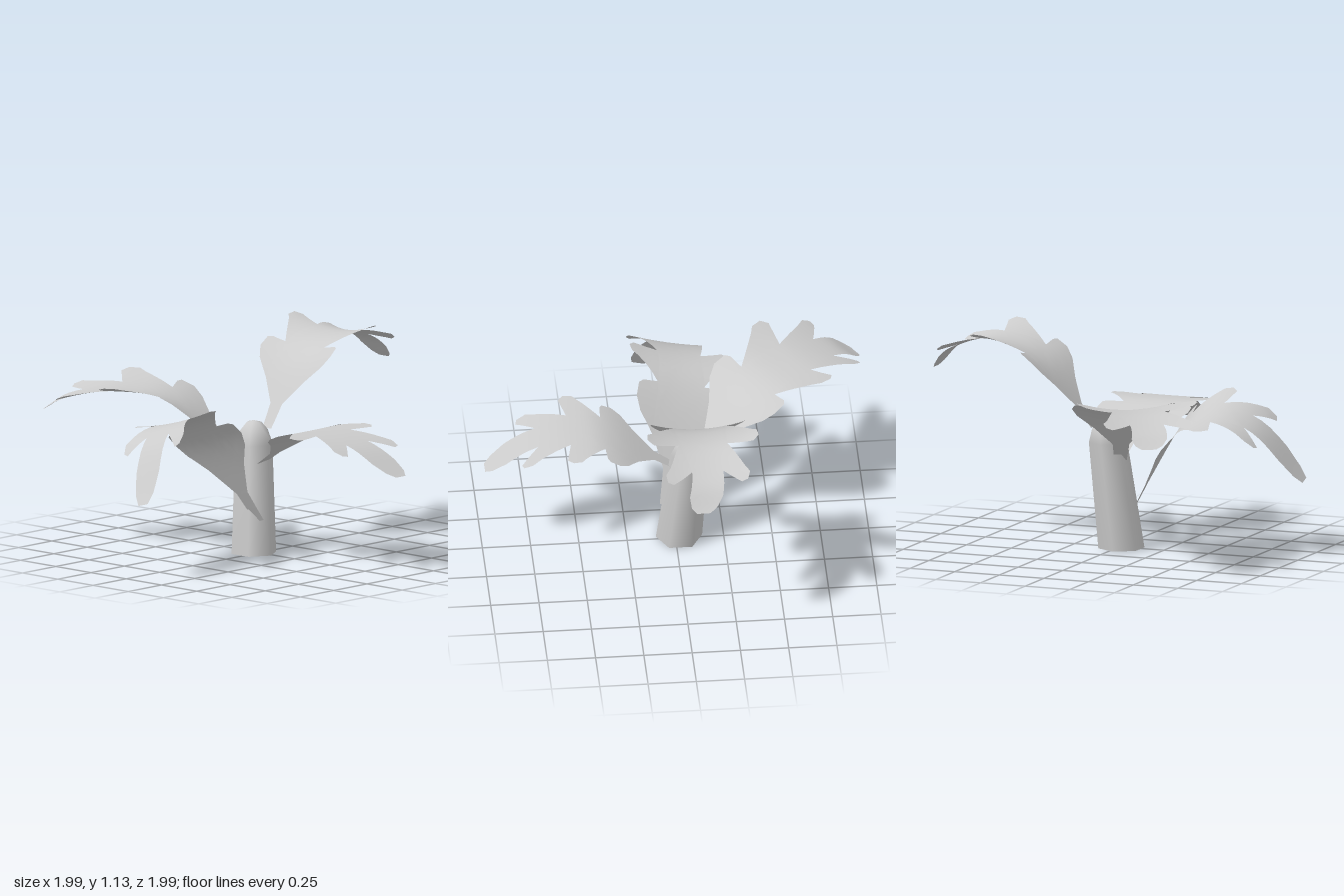
import * as THREE from 'three';
import { mergeVertices } from 'three/addons/utils/BufferGeometryUtils.js';

const material = new THREE.MeshStandardMaterial({ color: 0xcccccc, side: THREE.DoubleSide });

// Half outline of a lobed leaf: [fraction along the midrib, half width]
const half = [
  [0, 0.03], [0.08, 0.04], [0.15, 0.13], [0.2, 0.215], [0.24, 0.245], [0.29, 0.24], [0.305, 0.215],
  [0.31, 0.135], [0.45, 0.25], [0.48, 0.28], [0.53, 0.285], [0.56, 0.255],
  [0.53, 0.125], [0.69, 0.19], [0.74, 0.215], [0.79, 0.205], [0.8, 0.175],
  [0.7, 0.08], [0.88, 0.085], [0.96, 0.065], [1, 0.035],
];

// Flat leaf triangles, split until every edge is short enough to bend
function leafTriangles(maxEdge) {
  const outline = [
    ...half.map(([p, v]) => new THREE.Vector2(p, -v)),
    ...half.map(([p, v]) => new THREE.Vector2(p, v)).reverse(),
  ];
  const result = [];
  const split = (a, b, c) => {
    const ab = a.distanceTo(b), bc = b.distanceTo(c), ca = c.distanceTo(a);
    const longest = Math.max(ab, bc, ca);
    if (longest <= maxEdge) return result.push(a, b, c);
    if (longest === bc) return split(b, c, a);
    if (longest === ca) return split(c, a, b);
    const m = a.clone().add(b).multiplyScalar(0.5);
    split(a, m, c);
    split(m, b, c);
  };
  for (const f of THREE.ShapeUtils.triangulateShape(outline, [])) split(...f.map((i) => outline[i]));
  return result;
}

// Bends the flat leaf along a midrib; cup lifts both edges, roll tilts it sideways
function makeLeaf(flat, { name, midrib, width, cup, roll }) {
  const points = midrib.map((p) => new THREE.Vector3(...p));
  const curve = new THREE.CatmullRomCurve3(points, false, 'catmullrom', 0.5);
  const dir = points[4].clone().sub(points[0]).setY(0).normalize();
  const side = new THREE.Vector3(0, 1, 0).cross(dir);
  const bent = flat.map(({ x, y }) => {
    const v = y * width;
    const p = curve.getPoint(x).addScaledVector(side, v);
    p.y += cup * v * v + roll * v;
    return p;
  });
  const geometry = mergeVertices(new THREE.BufferGeometry().setFromPoints(bent), 1e-5);
  geometry.computeVertexNormals();
  const mesh = new THREE.Mesh(geometry, material);
  mesh.name = name;
  return mesh;
}

// Midrib points sit at the base, the three lobe pairs and the tip
const leaves = [
  { name: 'leftLeaf', width: 1.03, cup: 0.05, roll: 0,
    midrib: [[0.01, 0.47, 0], [0.32, 0.67, 0], [0.525, 0.705, 0.03], [0.765, 0.655, 0.02], [0.99, 0.525, -0.015]] },
  { name: 'backLeaf', width: 1.01, cup: 0.7, roll: 0,
    midrib: [[-0.06, 0.63, -0.12], [-0.085, 0.965, -0.37], [-0.085, 1.07, -0.63], [-0.095, 1.01, -0.87], [-0.06, 0.89, -1]] },
  { name: 'rightLeaf', width: 1.09, cup: 0.58, roll: 0,
    midrib: [[-0.08, 0.47, 0.04], [-0.385, 0.77, 0.185], [-0.625, 0.83, 0.36], [-0.845, 0.79, 0.52], [-0.98, 0.71, 0.58]] },
  { name: 'frontLeaf', width: 0.9, cup: 0.3, roll: 0.28,
    midrib: [[0.05, 0.18, 0.05], [-0.05, 0.63, 0.34], [-0.07, 0.75, 0.55], [-0.01, 0.68, 0.78], [0.11, 0.4, 0.99]] },
];

// Leaning six-sided trunk with a rounded top
function makeTrunk() {
  const trunk = new THREE.Group();
  trunk.name = 'trunk';
  const profile = [[0.12, 0], [0.1, 0.56], [0.075, 0.63], [0.04, 0.67], [0, 0.68]];
  const stem = new THREE.LatheGeometry(profile.map((p) => new THREE.Vector2(...p)), 6, Math.PI / 2);
  const lean = new THREE.Matrix4().set(1, -0.09, 0, -0.02, 0, 1, 0, 0, 0, -0.095, 1, 0.02, 0, 0, 0, 1);
  const base = new THREE.CircleGeometry(0.12, 6).rotateX(Math.PI / 2);
  for (const [name, geometry] of [['trunkStem', stem], ['trunkBase', base]]) {
    const mesh = new THREE.Mesh(geometry.applyMatrix4(lean), material);
    mesh.name = name;
    trunk.add(mesh);
  }
  return trunk;
}

export function createModel() {
  const model = new THREE.Group();
  model.name = 'plant';
  model.add(makeTrunk());
  const flat = leafTriangles(0.06);
  for (const leaf of leaves) model.add(makeLeaf(flat, leaf));
  return model;
}
